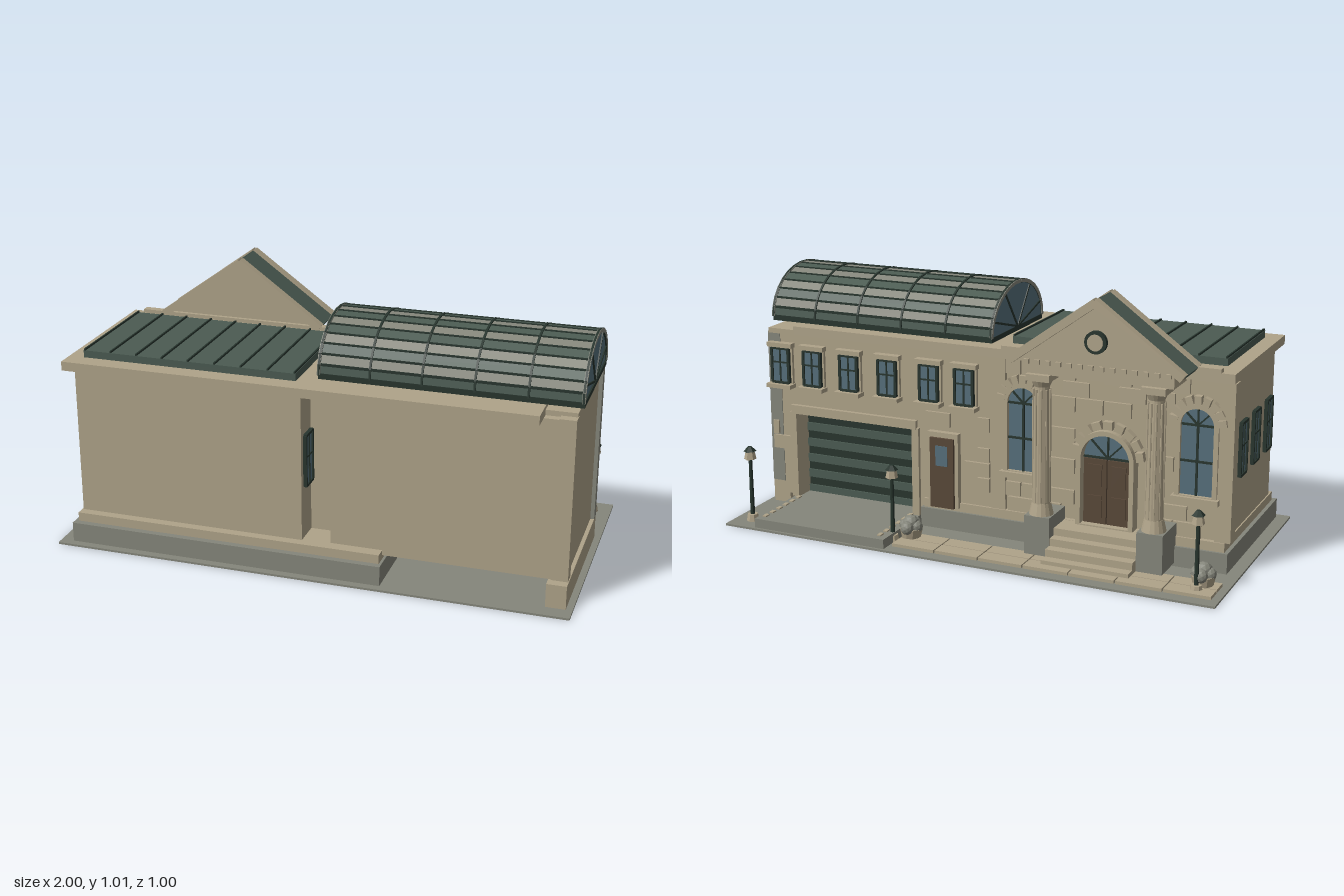
import * as THREE from 'three';

const mat = (name, color) => Object.assign(new THREE.MeshStandardMaterial({ color, flatShading: true }), { name });
const stone = mat('sandstone', 0xafa389);
const grey = mat('grey stone', 0x85867b);
const green = mat('green metal', 0x4b5b52);
const dark = mat('dark green trim', 0x28352e);
const glass = mat('blue glass', 0x566f7b);
const wood = mat('brown wood', 0x594839);

export function createModel() {
  const root = new THREE.Group();
  const add = (name, geo, m, parent = root) => {
    const mesh = new THREE.Mesh(geo, m);
    mesh.name = name;
    parent.add(mesh);
    return mesh;
  };
  // box from its two corners
  const box = (name, m, x0, x1, y0, y1, z0, z1, parent = root) => {
    const b = add(name, new THREE.BoxGeometry(x1 - x0, y1 - y0, z1 - z0), m, parent);
    b.position.set((x0 + x1) / 2, (y0 + y1) / 2, (z0 + z1) / 2);
    return b;
  };
  const group = (name) => {
    const g = new THREE.Group();
    g.name = name;
    root.add(g);
    return g;
  };
  const extrude = (shape, depth) => new THREE.ExtrudeGeometry(shape, { depth, bevelEnabled: false, curveSegments: 14 });
  const cyl = (name, m, r0, r1, y0, y1, x, z, sides, parent = root) => {
    const c = add(name, new THREE.CylinderGeometry(r0, r1, y1 - y0, sides), m, parent);
    c.position.set(x, (y0 + y1) / 2, z);
    return c;
  };

  // Ground, pavement and driveway
  box('ground', grey, -1, 1, 0, 0.008, -0.5, 0.5);
  box('driveway', grey, 0.3, 0.87, 0.008, 0.045, -0.49, -0.1);
  for (const x of [0.335, 0.845])
    for (let i = 0; i < 6; i++) box('drivewayMark', stone, x - 0.008, x + 0.008, 0.045, 0.05, -0.46 + i * 0.048, -0.435 + i * 0.048);
  for (let i = 0; i < 7; i++) {
    const x = -0.97 + i * 0.18;
    for (const z of [-0.45, -0.38]) box('pavingSlab', stone, x, x + 0.175, 0.008, 0.02, z, z + 0.066);
  }

  // Main block
  box('plinth', grey, -0.95, 0.29, 0.008, 0.085, -0.2, 0.47);
  box('plinthCap', stone, -0.935, 0.28, 0.085, 0.12, -0.19, 0.445);
  box('mainBlock', stone, -0.93, -0.03, 0.1, 0.72, -0.17, 0.41);
  box('cornice', stone, -0.95, 0.855, 0.715, 0.75, -0.185, 0.475);
  box('frontParapet', stone, -0.9, -0.05, 0.75, 0.765, -0.19, -0.16);
  for (const x of [-0.955, -0.065]) box('cornerPier', stone, x, x + 0.06, 0.12, 0.715, -0.185, -0.13);

  // Metal roof with seams
  box('metalRoof', green, -0.89, -0.05, 0.75, 0.778, -0.08, 0.405);
  for (let i = 0; i < 9; i++) {
    const x = -0.885 + i * 0.1038;
    box('roofSeam', dark, x - 0.003, x + 0.003, 0.778, 0.785, -0.08, 0.405);
  }

  // Garage block: hollow shell
  box('backWall', stone, 0.08, 0.93, 0.1, 0.715, 0.36, 0.4);
  box('recessWall', stone, -0.03, 0.1, 0.1, 0.715, 0.26, 0.3);
  box('recessSide', stone, 0.08, 0.1, 0.1, 0.715, 0.28, 0.38);
  box('endWall', stone, 0.92, 0.96, 0.1, 0.72, -0.15, 0.37);
  box('endPilaster', stone, 0.91, 0.972, 0.1, 0.72, 0.355, 0.405);
  box('endPier', grey, 0.92, 0.975, 0.1, 0.72, -0.183, -0.145);
  box('endPlinth', stone, 0.9, 0.975, 0.008, 0.1, -0.18, 0.44);
  box('endCornice', stone, 0.855, 0.97, 0.715, 0.735, -0.185, 0.37);
  box('facadeLeft', stone, -0.03, 0.33, 0.05, 0.72, -0.18, -0.14);
  box('facadeRight', stone, 0.85, 0.93, 0.05, 0.72, -0.18, -0.14);
  box('facadeTop', stone, 0.33, 0.85, 0.4, 0.72, -0.18, -0.14);
  box('garageLintel', stone, 0.31, 0.87, 0.395, 0.43, -0.198, -0.18);
  for (const x of [0.3, 0.85]) box('garageJamb', stone, x, x + 0.03, 0.045, 0.4, -0.195, -0.1);
  for (let i = 0; i < 11; i++) box('shutterSlat', i % 2 ? dark : green, 0.33, 0.85, 0.04 + i * 0.033, 0.073 + i * 0.033, i % 2 ? -0.105 : -0.112, -0.095);

  // Stone blocks, laid in courses around the openings
  const blocks = (x0, x1, y0, y1, z, holes) => {
    const g = group('stoneCourses');
    let row = 0;
    for (let y = y0; y < y1 - 0.03; y += 0.06, row++)
      for (let x = x0 - (row % 2) * 0.055, col = 0; x < x1; x += 0.11, col++) {
        const a = Math.max(x, x0), b = Math.min(x + 0.104, x1);
        const hit = holes.some(([p, q, r, s]) => a < q && b > p && y < s && y + 0.055 > r);
        if (b - a > 0.02 && !hit && (row * 7 + col * 5) % 4) box('stoneBlock', stone, a, b, y, y + 0.055, z - 0.012, z, g);
      }
  };
  blocks(-0.95, -0.01, 0.12, 0.71, -0.17, [[-0.91, -0.73, 0.26, 0.66], [-0.23, -0.05, 0.26, 0.66], [-0.6, -0.36, 0.1, 0.54]]);
  blocks(0, 0.96, 0.12, 0.71, -0.18, [[0.3, 0.87, 0, 0.43], [0.12, 0.26, 0, 0.4], [0.04, 0.97, 0.48, 0.68]]);

  // Arched openings
  const arch = (r, y0, spring, x) => {
    const s = new THREE.Shape();
    s.moveTo(x - r, y0);
    s.lineTo(x + r, y0);
    s.lineTo(x + r, spring);
    s.absarc(x, spring, r, 0, Math.PI, false);
    s.lineTo(x - r, y0);
    return s;
  };
  const archedOpening = (name, x, r, y0, spring, front) => {
    const g = group(name);
    const frame = arch(r + 0.018, y0, spring, x);
    frame.holes.push(arch(r, y0 + 0.005, spring, x));
    add('surround', extrude(frame, -0.17 - front), stone, g).position.z = front;
    add('glass', extrude(arch(r, y0, spring, x), 0.008), glass, g).position.z = -0.181;
    for (let i = 0; i < 9; i++) {
      const a = (i + 0.5) * Math.PI / 9, R = r + 0.03;
      const v = add('voussoir', new THREE.BoxGeometry(0.035, R * 0.28, 0.025), stone, g);
      v.position.set(x + Math.cos(a) * R, spring + Math.sin(a) * R, -0.183);
      v.rotation.z = a;
    }
    box('transom', dark, x - r, x + r, spring - 0.004, spring + 0.004, -0.187, -0.18, g);
    for (const a of [45, 90, 135]) {
      const t = a * Math.PI / 180;
      const m = add('fanBar', new THREE.BoxGeometry(r, 0.006, 0.007), dark, g);
      m.position.set(x + Math.cos(t) * r / 2, spring + Math.sin(t) * r / 2, -0.184);
      m.rotation.z = t;
    }
    return g;
  };
  for (const x of [-0.82, -0.14]) {
    const g = archedOpening('archedWindow', x, 0.062, 0.28, 0.55, -0.195);
    box('mullion', dark, x - 0.004, x + 0.004, 0.28, 0.55, -0.187, -0.18, g);
    box('crossBar', dark, x - 0.062, x + 0.062, 0.41, 0.418, -0.187, -0.18, g);
    box('sill', stone, x - 0.09, x + 0.09, 0.26, 0.282, -0.21, -0.17, g);
  }
  const entry = archedOpening('entrance', -0.48, 0.095, 0.12, 0.38, -0.22);
  for (const s of [-1, 1]) {
    const c = -0.48 + s * 0.047;
    box('doorLeaf', wood, c - 0.045, c + 0.045, 0.12, 0.375, -0.192, -0.18, entry);
    for (const y of [0.15, 0.27]) box('doorPanel', wood, c - 0.028, c + 0.028, y, y + 0.085, -0.197, -0.19, entry);
  }

  // Rectangular windows, built facing -z then turned into place
  const windowAt = (x, y, z, w, h, turn) => {
    const g = group('window');
    box('glass', glass, -w / 2, w / 2, -h / 2, h / 2, -0.008, 0, g);
    for (const s of [-1, 1]) {
      box('frameSide', dark, s * w / 2 - 0.005, s * w / 2 + 0.005, -h / 2, h / 2, -0.014, 0, g);
      box('frameRail', dark, -w / 2, w / 2, s * h / 2 - 0.005, s * h / 2 + 0.005, -0.014, 0, g);
    }
    box('mullion', dark, -0.003, 0.003, -h / 2, h / 2, -0.012, 0, g);
    box('crossBar', dark, -w / 2, w / 2, 0.01, 0.016, -0.012, 0, g);
    g.position.set(x, y, z);
    g.rotation.y = turn;
    return g;
  };
  for (const x of [0.1, 0.25, 0.43, 0.6, 0.765, 0.91]) {
    windowAt(x, 0.59, -0.193, 0.075, 0.14, 0);
    box('windowBacking', stone, x - 0.05, x + 0.05, 0.515, 0.67, -0.193, -0.17);
    box('windowSill', stone, x - 0.055, x + 0.055, 0.5, 0.516, -0.225, -0.18);
    box('windowHead', stone, x - 0.055, x + 0.055, 0.664, 0.682, -0.21, -0.18);
  }
  for (const z of [0, 0.165, 0.335]) windowAt(-0.93, 0.43, z, 0.075, 0.2, Math.PI / 2);
  windowAt(-0.03, 0.43, 0.345, 0.075, 0.2, -Math.PI / 2);

  // Side door
  box('sideDoorFrame', stone, 0.125, 0.255, 0.1, 0.4, -0.205, -0.18);
  box('sideDoor', wood, 0.14, 0.24, 0.1, 0.38, -0.216, -0.2);
  box('sideDoorGlass', glass, 0.165, 0.215, 0.27, 0.35, -0.219, -0.21);

  // Portico: steps, columns, entablature
  for (let i = 0; i < 4; i++) box('step', stone, -0.65, -0.31, 0.008, 0.035 + i * 0.028, -0.41 + i * 0.04, -0.18);
  for (const x of [-0.7, -0.26]) {
    const g = group('column');
    box('pedestal', grey, x - 0.05, x + 0.05, 0.02, 0.17, -0.335, -0.18, g);
    cyl('columnBase', stone, 0.036, 0.046, 0.17, 0.215, x, -0.29, 16, g);
    cyl('shaft', stone, 0.029, 0.035, 0.2, 0.67, x, -0.29, 16, g);
    for (let i = 0; i < 10; i++) {
      const a = i * Math.PI / 5;
      cyl('flute', stone, 0.004, 0.004, 0.22, 0.65, x + Math.cos(a) * 0.032, -0.29 + Math.sin(a) * 0.032, 6, g);
    }
    cyl('capital', stone, 0.044, 0.03, 0.66, 0.69, x, -0.29, 16, g);
    box('abacus', stone, x - 0.046, x + 0.046, 0.685, 0.71, -0.336, -0.245, g);
  }
  box('entablature', stone, -0.77, -0.19, 0.708, 0.765, -0.315, -0.18);
  for (let i = 0; i < 14; i++) box('dentil', stone, -0.76 + i * 0.0415, -0.74 + i * 0.0415, 0.745, 0.762, -0.325, -0.31);

  // Pediment
  const gable = (w, y0, y1) => {
    const s = new THREE.Shape();
    s.moveTo(-0.48 - w, y0);
    s.lineTo(-0.48 + w, y0);
    s.lineTo(-0.48, y1);
    return s;
  };
  add('tympanum', extrude(gable(0.3, 0.763, 0.985), 0.14), stone).position.z = -0.315;
  for (const s of [-1, 1]) {
    const slope = (name, m, lift, thick, z0, z1) => {
      const p = add(name, new THREE.BoxGeometry(0.412, thick, z1 - z0), m);
      p.position.set(-0.48 + s * 0.163, 0.877 + lift, (z0 + z1) / 2);
      p.rotation.z = -s * Math.atan2(0.235, 0.325);
    };
    slope('pedimentRoof', green, 0, 0.018, -0.32, -0.185);
    slope('rakingCornice', stone, 0, 0.03, -0.348, -0.315);
    slope('rakingCornice', stone, 0, 0.03, -0.19, -0.158);
  }
  const medal = add('medallion', new THREE.CylinderGeometry(0.042, 0.042, 0.02, 20), dark);
  medal.position.set(-0.48, 0.85, -0.322);
  medal.rotation.x = Math.PI / 2;
  const boss = add('medallionBoss', new THREE.CylinderGeometry(0.03, 0.03, 0.028, 20), stone);
  boss.position.copy(medal.position);
  boss.rotation.x = Math.PI / 2;

  // Barrel-vaulted skylight: striped panels, ribs, purlins and glazed ends
  const vault = group('barrelVault'), ZC = 0.12, Y0 = 0.767, A = 0.238, B = 0.178;
  const rim = (a) => [ZC + A * Math.cos(a), Y0 + B * Math.sin(a)];
  const chord = (name, m, p, q, x0, x1, thick) => {
    const dz = q[0] - p[0], dy = q[1] - p[1];
    const c = add(name, new THREE.BoxGeometry(x1 - x0, thick, Math.hypot(dz, dy)), m, vault);
    c.position.set((x0 + x1) / 2, (p[1] + q[1]) / 2, (p[0] + q[0]) / 2);
    c.rotation.x = -Math.atan2(dy, dz);
  };
  const N = 15;
  for (let i = 0; i < N; i++) {
    const p = rim(i * Math.PI / N), q = rim((i + 1) * Math.PI / N);
    chord('vaultPanel', i % 2 ? grey : green, p, q, 0.03, 0.98, 0.006);
    for (let k = 0; k < 6; k++) chord('vaultRib', dark, p, q, 0.02 + k * 0.192, 0.028 + k * 0.192, 0.016);
    for (const x of [0.017, 0.978]) chord('endArch', grey, p, q, x, x + 0.012, 0.014);
  }
  for (let i = 0; i <= N; i++) {
    const [z, y] = rim(i * Math.PI / N);
    box('purlin', dark, 0.02, 0.985, y - 0.004, y + 0.006, z - 0.004, z + 0.004, vault);
  }
  const end = new THREE.Shape();
  end.absellipse(ZC, Y0, A, B, 0, Math.PI, false, 0);
  for (const x of [0.03, 0.982]) {
    const e = add('endGlass', extrude(end, 0.008), glass, vault);
    e.rotation.y = -Math.PI / 2;
    e.position.x = x;
    for (const a of [20, 60, 120, 160]) chord('endSpoke', dark, [ZC, Y0], rim(a * Math.PI / 180), x - 0.012, x + 0.005, 0.008);
  }
  box('vaultSill', dark, 0.02, 0.988, 0.75, 0.769, ZC - A, ZC + A, vault);

  // Street lamps
  for (const [x, z] of [[-0.9, -0.4], [0.31, -0.395], [0.925, -0.42]]) {
    const g = group('streetLamp');
    cyl('lampFoot', stone, 0.02, 0.026, 0.005, 0.035, x, z, 8, g);
    cyl('lampPole', dark, 0.007, 0.009, 0.03, 0.265, x, z, 8, g);
    cyl('lantern', stone, 0.017, 0.024, 0.262, 0.295, x, z, 6, g);
    cyl('lampCap', dark, 0.008, 0.025, 0.293, 0.312, x, z, 6, g);
  }

  // Rounded planters
  for (const x of [-0.91, 0.255]) {
    const g = group('planter');
    cyl('planterBowl', stone, 0.045, 0.035, 0.01, 0.055, x, -0.35, 10, g);
    for (let i = 0; i < 5; i++) {
      const r = i ? 0.026 : 0.032, a = i * Math.PI / 2;
      add('boulder', new THREE.IcosahedronGeometry(r, 1), grey, g)
        .position.set(x + (i ? Math.cos(a) * 0.022 : 0), i ? 0.062 : 0.074, -0.35 + (i ? Math.sin(a) * 0.032 : 0));
    }
  }
  return root;
}
